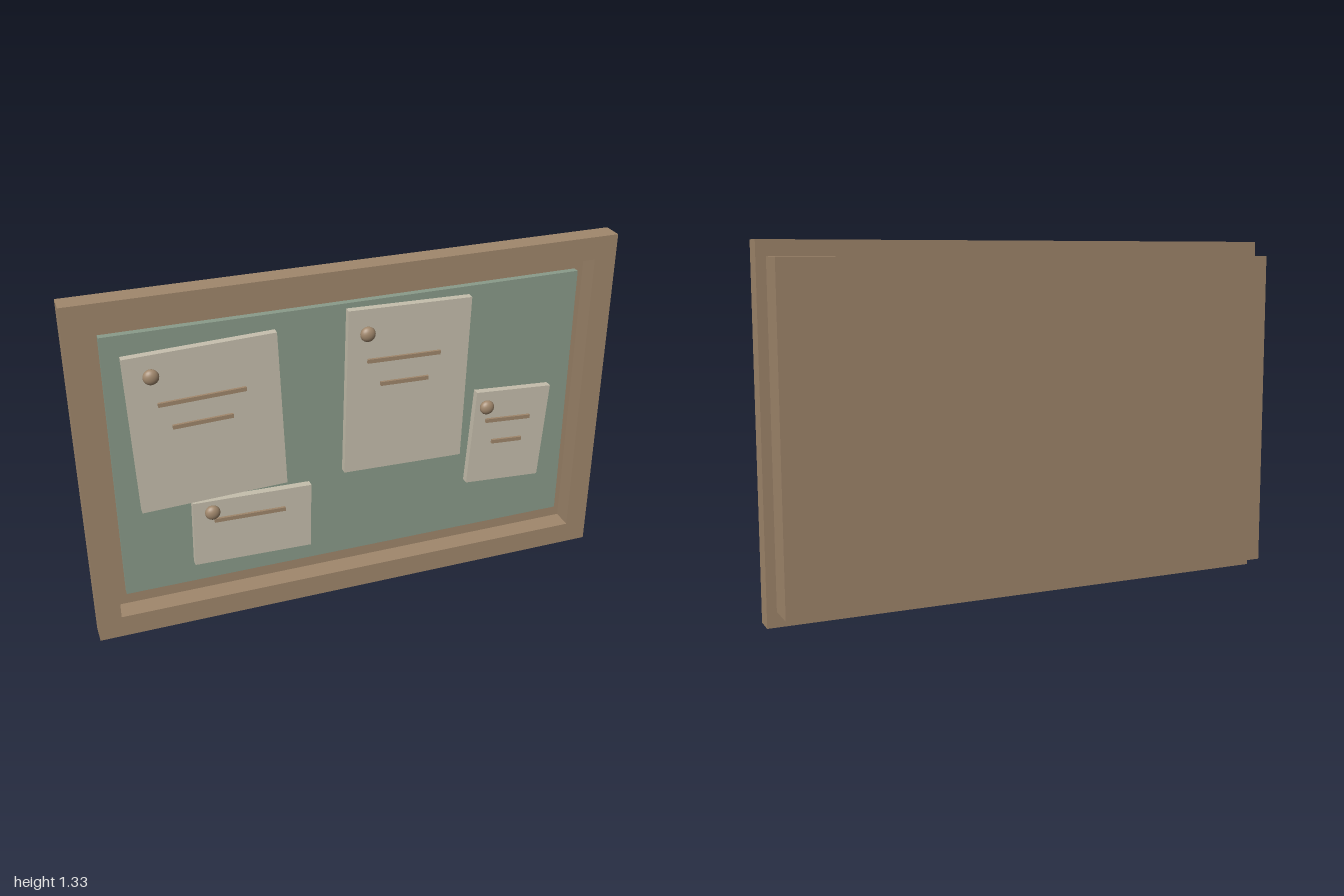
import * as THREE from 'three';

export function createModel() {
  const model = new THREE.Group();
  model.name = 'noticeBoard';

  const mat = (name, color) => {
    const m = new THREE.MeshStandardMaterial({ color });
    m.name = name;
    return m;
  };
  const wood = mat('brown wood', 0xa0876c);
  const felt = mat('green felt', 0x8a9b8a);
  const paper = mat('cream paper', 0xc6bfad);

  // Box given by its centre in x and y, and its z range
  const box = (parent, name, material, x, y, w, h, z0, z1, turn = 0) => {
    const mesh = new THREE.Mesh(new THREE.BoxGeometry(w, h, z1 - z0), material);
    mesh.name = name;
    mesh.position.set(x, y, (z0 + z1) / 2);
    mesh.rotation.z = turn;
    parent.add(mesh);
    return mesh;
  };

  const H = 1.325, mid = H / 2, rail = 0.086;

  // Backing case and pin surface
  box(model, 'backCase', wood, 0, mid, 1.93, 1.213, -0.107, 0.017);
  box(model, 'feltPanel', felt, 0, mid, 1.76, 1.035, 0.017, 0.042);

  // Frame: full-width rails with stiles between them
  const frame = new THREE.Group();
  frame.name = 'frame';
  model.add(frame);
  box(frame, 'topRail', wood, 0, H - rail / 2, 2, rail, 0.017, 0.095);
  box(frame, 'bottomRail', wood, 0, rail / 2, 2, rail, 0.017, 0.095);
  for (const [name, s] of [['leftStile', 1], ['rightStile', -1]]) {
    box(frame, name, wood, s * (1 - rail / 2), mid, rail, H - 2 * rail, 0.017, 0.095);
  }

  // Notes: centre, size, turn, pin position, written lines (centre and length)
  const notes = [
    { at: [-0.54, 0.81], size: [0.535, 0.605], turn: 0.035, pin: [-0.727, 1.035],
      lines: [[-0.555, 0.924, 0.31], [-0.558, 0.83, 0.215]] },
    { at: [0.201, 0.831], size: [0.468, 0.648], turn: -0.026, pin: [0.04, 1.073],
      lines: [[0.185, 0.957, 0.28], [0.188, 0.861, 0.185]] },
    { at: [0.626, 0.55], size: [0.307, 0.39], turn: -0.065, pin: [0.52, 0.697],
      lines: [[0.618, 0.625, 0.185], [0.618, 0.531, 0.125]] },
    { at: [-0.397, 0.36], size: [0.446, 0.265], turn: -0.025, pin: [-0.55, 0.46],
      lines: [[-0.408, 0.412, 0.267]] },
  ];
  const pinShape = new THREE.SphereGeometry(0.028, 24, 16);

  for (const n of notes) {
    const note = new THREE.Group();
    note.name = 'note';
    model.add(note);
    box(note, 'sheet', paper, ...n.at, ...n.size, 0.042, 0.07, n.turn);
    for (const [x, y, length] of n.lines) {
      box(note, 'writtenLine', wood, x, y, length, 0.015, 0.07, 0.0795, n.turn);
    }
    // Slightly flattened round pin head
    const pin = new THREE.Mesh(pinShape, wood);
    pin.name = 'pin';
    pin.position.set(...n.pin, 0.089);
    pin.scale.z = 0.7;
    note.add(pin);
  }
  return model;
}
